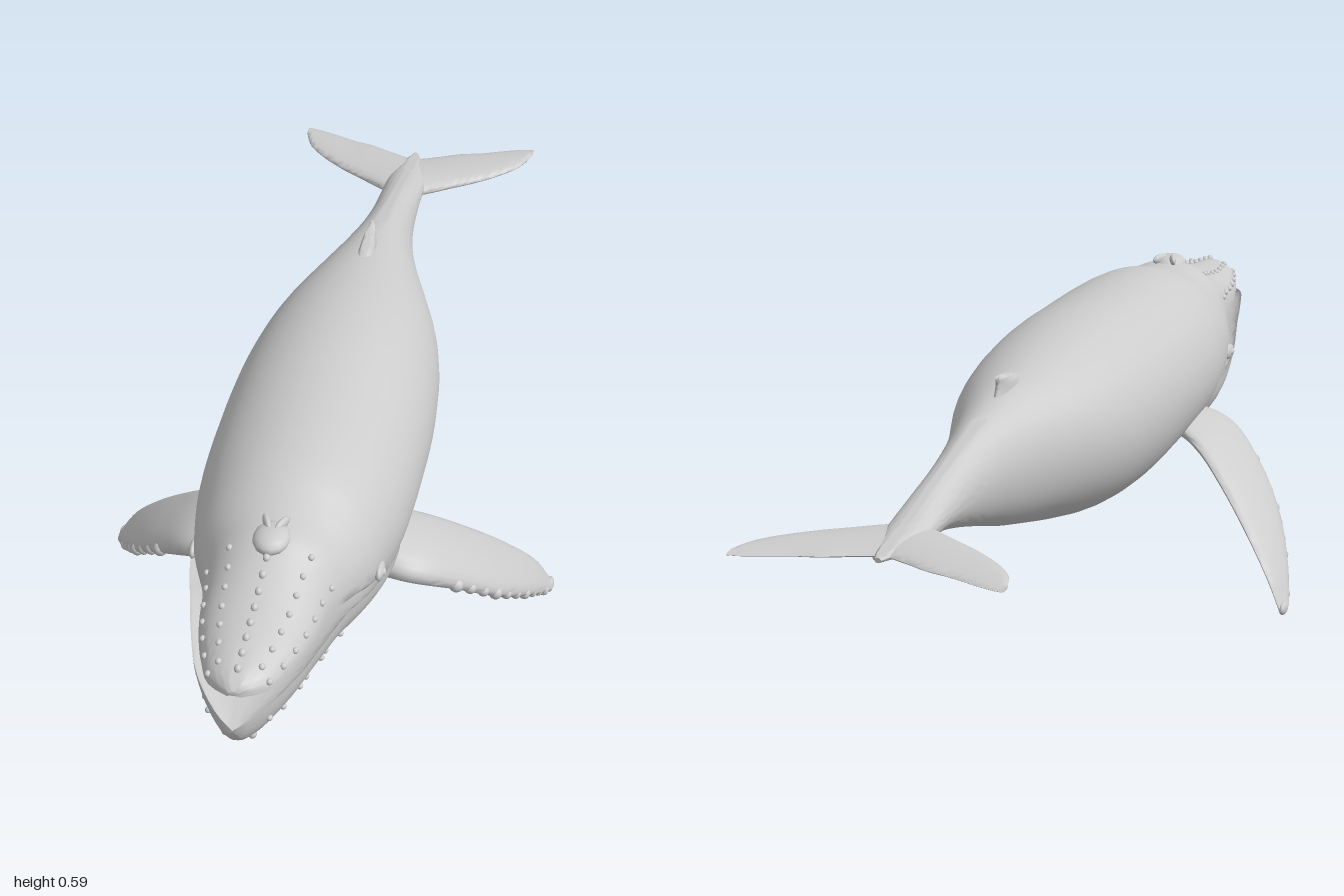
import * as THREE from 'three';
import { toCreasedNormals } from 'three/addons/utils/BufferGeometryUtils.js';

const material = new THREE.MeshStandardMaterial({ color: 0xcccccc, roughness: 0.8 });
const V = (x, y, z) => new THREE.Vector3(x, y, z);

// Stations along the length: z, half width, top y, widest y, bottom y
const BODY = [
  [-0.93, 0.006, 0.405, 0.4, 0.395], [-0.88, 0.026, 0.414, 0.4, 0.388], [-0.8, 0.042, 0.432, 0.405, 0.382],
  [-0.7, 0.045, 0.46, 0.415, 0.374], [-0.6, 0.05, 0.485, 0.42, 0.35], [-0.5, 0.065, 0.51, 0.42, 0.32],
  [-0.4, 0.093, 0.533, 0.415, 0.287], [-0.3, 0.13, 0.551, 0.41, 0.26], [-0.2, 0.165, 0.567, 0.405, 0.235],
  [-0.1, 0.188, 0.581, 0.4, 0.214], [0, 0.2, 0.59, 0.4, 0.203], [0.1, 0.206, 0.594, 0.4, 0.203],
  [0.2, 0.207, 0.592, 0.4, 0.213], [0.3, 0.206, 0.591, 0.4, 0.223], [0.4, 0.2, 0.59, 0.4, 0.237],
  [0.5, 0.184, 0.582, 0.405, 0.27], [0.55, 0.173, 0.568, 0.408, 0.32], [0.6, 0.156, 0.56, 0.412, 0.37],
  [0.65, 0.137, 0.56, 0.42, 0.41], [0.7, 0.121, 0.543, 0.435, 0.437], [0.8, 0.105, 0.515, 0.445, 0.457],
  [0.9, 0.077, 0.5, 0.452, 0.462], [0.96, 0.047, 0.488, 0.456, 0.462], [0.985, 0.012, 0.474, 0.462, 0.464],
];
// The jaw has its top below the lips, which hollows out the mouth
const JAW = [
  [0.25, 0.165, 0.33, 0.36, 0.245], [0.4, 0.195, 0.36, 0.37, 0.233], [0.5, 0.188, 0.36, 0.38, 0.252],
  [0.6, 0.17, 0.38, 0.402, 0.282], [0.7, 0.145, 0.4, 0.43, 0.311], [0.8, 0.12, 0.408, 0.437, 0.332],
  [0.9, 0.088, 0.408, 0.435, 0.338], [0.96, 0.052, 0.402, 0.423, 0.343], [0.99, 0.022, 0.396, 0.408, 0.365],
  [1.0, 0.005, 0.394, 0.4, 0.388],
];

// Returns point(z, angle) on a hull; angle 0 is the left side, PI / 2 the top
function hull(stations) {
  const curve = new THREE.CubicInterpolant(
    stations.map((s) => s[0]), stations.flatMap((s) => s.slice(1)), 4, new Float32Array(4));
  return (z, a) => {
    const [w, top, mid, bottom] = curve.evaluate(z);
    const s = Math.sin(a);
    return V(w * Math.cos(a), mid + s * (s > 0 ? top - mid : mid - bottom), z);
  };
}

// Skins closed rings of points, caps both ends and turns the faces outward
function skin(rings) {
  const n = rings[0].length, m = rings.length;
  const points = rings.flat();
  const index = [];
  for (let i = 0; i < m - 1; i++) {
    for (let j = 0; j < n; j++) {
      const a = i * n + j, b = i * n + (j + 1) % n;
      index.push(a, b, b + n, a, b + n, a + n);
    }
  }
  [0, m - 1].forEach((r) => {
    const centre = points.length;
    points.push(rings[r].reduce((sum, p) => sum.add(p), V(0, 0, 0)).divideScalar(n));
    for (let j = 0; j < n; j++) {
      const a = r * n + j, b = r * n + (j + 1) % n;
      if (r) index.push(centre, a, b); else index.push(centre, b, a);
    }
  });
  let volume = 0;
  for (let i = 0; i < index.length; i += 3) {
    const [a, b, c] = [0, 1, 2].map((k) => points[index[i + k]]);
    volume += a.dot(b.clone().cross(c));
  }
  if (volume < 0) index.reverse();
  const geometry = new THREE.BufferGeometry().setFromPoints(points);
  geometry.setIndex(index);
  return toCreasedNormals(geometry, 1.0);
}

function skinHull(point, z0, z1, steps, sides = 48) {
  return skin(Array.from({ length: steps + 1 }, (_, i) => {
    const z = z0 + (z1 - z0) * i / steps;
    return Array.from({ length: sides }, (_, j) => point(z, j / sides * Math.PI * 2));
  }));
}

// Fin between a leading and a trailing edge; thick(t) is the half thickness
function fin(lead, trail, thick, steps = 36, sides = 24) {
  const L = new THREE.CatmullRomCurve3(lead), T = new THREE.CatmullRomCurve3(trail);
  const mid = (t) => L.getPoint(t).add(T.getPoint(t)).multiplyScalar(0.5);
  return skin(Array.from({ length: steps + 1 }, (_, i) => {
    const t = i / steps, centre = mid(t);
    const half = L.getPoint(t).sub(centre);
    const span = mid(Math.min(1, t + 0.02)).sub(mid(Math.max(0, t - 0.02)));
    const normal = half.clone().cross(span).normalize();
    return Array.from({ length: sides }, (_, j) => {
      const a = j / sides * Math.PI * 2, c = Math.cos(a);
      return centre.clone().addScaledVector(half, c)
        .addScaledVector(normal, Math.sin(a) * thick(t) * (0.8 + 0.25 * c));
    });
  }));
}

export function createModel() {
  const model = new THREE.Group();
  const add = (name, geometry, parent = model) => {
    const mesh = new THREE.Mesh(geometry, material);
    mesh.name = name;
    parent.add(mesh);
    return mesh;
  };
  const ball = new THREE.SphereGeometry(1, 14, 10);
  const knob = (name, p, sx, sy = sx, sz = sx, parent = model) => {
    const mesh = add(name, ball, parent);
    mesh.position.copy(p);
    mesh.scale.set(sx, sy, sz);
    return mesh;
  };

  // Body with upper jaw, and the lower jaw with throat
  const body = hull(BODY), jaw = hull(JAW);
  add('body', skinHull(body, -0.93, 0.985, 120));
  add('lowerJaw', skinHull(jaw, 0.25, 1.0, 60));

  // Tail flukes, lofted from tip to tip
  const half = [[0.26, -0.972, -0.998], [0.24, -0.92, -0.995], [0.2, -0.875, -0.982], [0.15, -0.835, -0.962],
    [0.1, -0.803, -0.948], [0.05, -0.772, -0.925]];
  const fluke = [...half.map(([x, a, b]) => [-x, a, b]), [0, -0.75, -0.908], ...half.slice().reverse()];
  add('tailFlukes', fin(fluke.map(([x, a]) => V(x, 0.402, a)), fluke.map(([x, , b]) => V(x, 0.4, b)),
    (t) => 0.004 + 0.018 * (1 - Math.abs(2 * t - 1)), 72));

  // Small hooked fin on the back
  add('dorsalFin', fin(
    [V(0, 0.53, -0.2), V(0, 0.562, -0.28), V(0, 0.574, -0.335), V(0, 0.578, -0.365)],
    [V(0, 0.5, -0.41), V(0, 0.54, -0.378), V(0, 0.562, -0.372), V(0, 0.574, -0.38)],
    (t) => 0.022 * (1 - t) + 0.004, 20));

  // Blowhole: raised guard with two nostril ridges
  knob('blowholeGuard', V(0, 0.552, 0.655), 0.035, 0.02, 0.045);

  const headKnobs = new THREE.Group();
  headKnobs.name = 'headKnobs';
  model.add(headKnobs);
  for (let i = 0; i < 8; i++) {
    knob('crownKnob', body(0.7 + i * 0.035, Math.PI / 2), 0.007, 0.008, 0.009, headKnobs);
  }
  knob('chinKnob', V(0, 0.343, 0.925), 0.02, 0.016, 0.03);

  for (const s of [1, -1]) {
    const side = (p) => V(s * p.x, p.y, p.z);
    const nostril = knob('nostrilRidge', V(s * 0.014, 0.566, 0.63), 0.007, 0.011, 0.024);
    nostril.rotation.y = s * -0.4;

    // Rows of knobs on the upper jaw, the lips and the chin
    for (let i = 0; i < 7; i++) {
      const z = 0.67 + i * 0.043;
      knob('snoutKnob', side(body(z, 0.95)), 0.006, 0.006, 0.007, headKnobs);
      knob('upperLipKnob', side(body(z + 0.015, 0.4)), 0.006, 0.006, 0.007, headKnobs);
      knob('jawKnob', side(jaw(z + 0.02, -0.45 - 0.15 * (i % 2))), 0.006, 0.006, 0.007, headKnobs);
    }
    for (let i = 0; i < 4; i++) {
      knob('chinSideKnob', side(jaw(0.86 + i * 0.03, -1.15)), 0.008, 0.009, 0.01, headKnobs);
    }

    // Eye in a soft lid
    const eye = side(body(0.53, -0.06));
    knob('eyeLid', eye, 0.009, 0.016, 0.026);
    knob('eye', eye.clone().add(V(s * 0.005, 0, 0.002)), 0.007, 0.008, 0.01);

    // Long flipper with a knobbly leading edge
    const lead = [V(0.13, 0.29, 0.4), V(0.215, 0.278, 0.405), V(0.3, 0.222, 0.345), V(0.375, 0.142, 0.26),
      V(0.425, 0.068, 0.16), V(0.455, 0.012, 0.075)].map(side);
    const trail = [V(0.13, 0.33, 0.25), V(0.215, 0.282, 0.205), V(0.285, 0.222, 0.155), V(0.355, 0.15, 0.1),
      V(0.418, 0.072, 0.052), V(0.45, 0.012, 0.035)].map(side);
    const flipper = new THREE.Group();
    flipper.name = s > 0 ? 'leftFlipper' : 'rightFlipper';
    model.add(flipper);
    add('flipperBlade', fin(lead, trail, (t) => 0.036 * (1 - t) + 0.009), flipper);
    const edge = new THREE.CatmullRomCurve3(lead);
    for (let i = 0; i < 10; i++) {
      const t = 0.4 + i * 0.06;
      const r = 0.015 - 0.006 * t + (i % 3 === 0 ? 0.002 : 0);
      knob('flipperKnob', edge.getPoint(t).add(V(s * -0.004, 0.002, -0.006)), r, r, r, flipper);
    }
    knob('flipperTip', V(s * 0.452, 0.014, 0.054), 0.008, 0.0135, 0.02, flipper);
  }
  return model;
}
